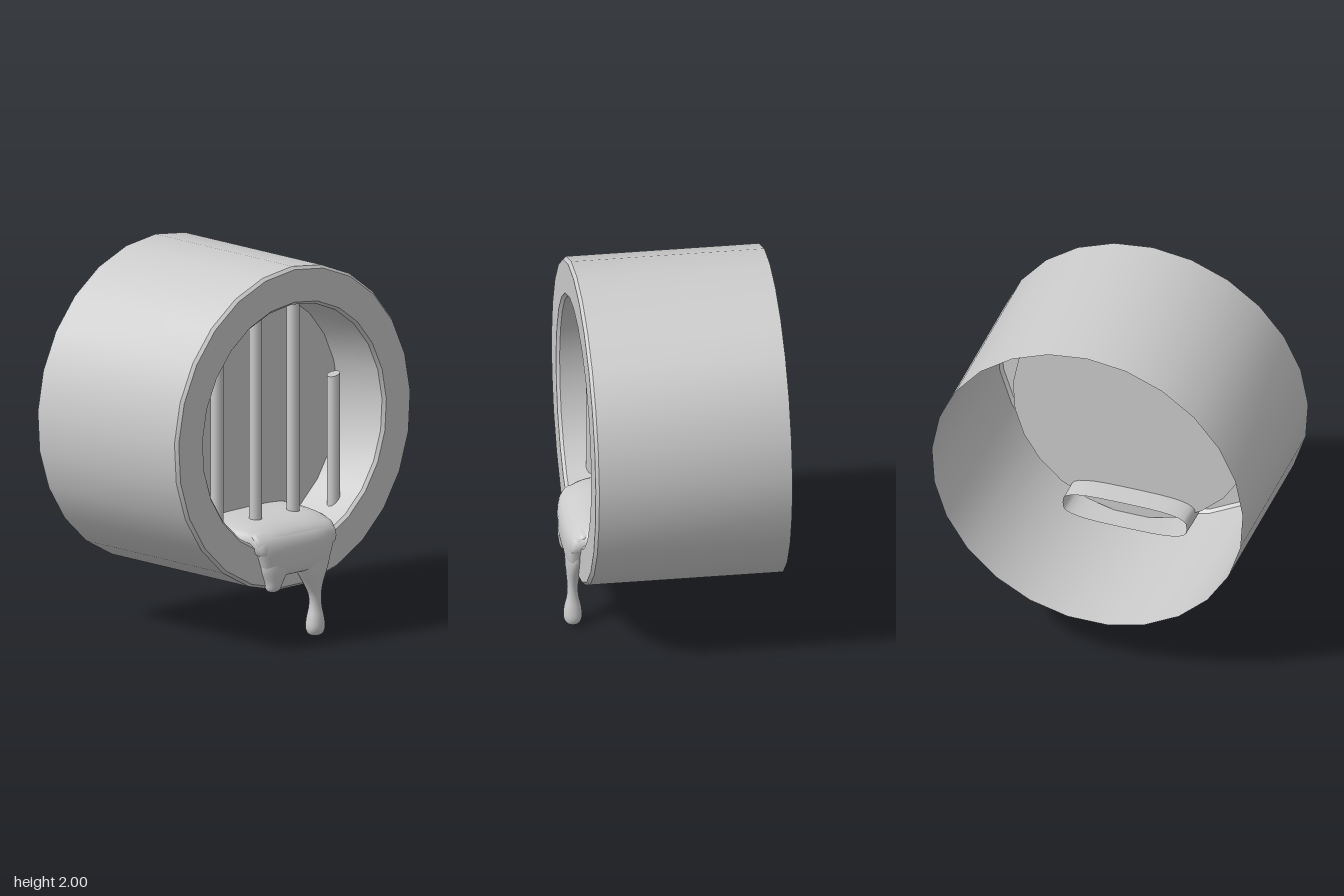
import * as THREE from 'three';
import { toCreasedNormals } from 'three/addons/utils/BufferGeometryUtils.js';

const CENTER_Y = 1.135;
const BORE = 0.66;

const material = new THREE.MeshStandardMaterial({ color: 0xcccccc, side: THREE.DoubleSide });

function addMesh(parent, name, geometry) {
  const mesh = new THREE.Mesh(geometry, material);
  mesh.name = name;
  parent.add(mesh);
  return mesh;
}

// Smooth loft through rounded sections [axis, centreX, halfX, centreOther, halfOther].
function loft(sections, alongZ, power = 1, sides = 28, steps = 4) {
  const spline = new THREE.CubicInterpolant(sections.map((_, i) => i), sections.flat(), 5);
  const rows = (sections.length - 1) * steps;
  const positions = [];
  const index = [];
  const round = (v) => Math.sign(v) * Math.abs(v) ** power;
  for (let i = 0; i <= rows; i++) {
    const [a, cx, hx, co, ho] = spline.evaluate(i / steps);
    for (let j = 0; j < sides; j++) {
      const t = (j / sides) * Math.PI * 2;
      const x = cx + Math.max(hx, 0) * round(Math.cos(t));
      const o = co + Math.max(ho, 0) * round(Math.sin(t));
      positions.push(x, alongZ ? o : a, alongZ ? a : o);
      if (i === rows) continue;
      const k = (j + 1) % sides;
      const p = i * sides, q = p + sides;
      index.push(p + j, p + k, q + j, p + k, q + k, q + j);
    }
  }
  const geometry = new THREE.BufferGeometry();
  geometry.setAttribute('position', new THREE.Float32BufferAttribute(positions, 3));
  geometry.setIndex(index);
  geometry.computeVertexNormals();
  return geometry;
}

export function createModel() {
  const model = new THREE.Group();
  model.name = 'sewerPipe';

  // Pipe: outer shell open at the back, thick front rim, recessed bore and its end wall
  const profile = [
    [0.865, -0.555], [0.865, 0.465], [0.85, 0.482], [0.675, 0.482],
    [BORE, 0.465], [BORE, 0.135], [0, 0.135],
  ].map(([r, z]) => new THREE.Vector2(r, z));
  const pipe = new THREE.LatheGeometry(profile, 25, Math.PI);
  pipe.rotateX(Math.PI / 2);
  addMesh(model, 'pipe', toCreasedNormals(pipe, 0.7)).position.y = CENTER_Y;

  // Upright bars, the last one broken off at a slant
  const bars = new THREE.Group();
  bars.name = 'bars';
  model.add(bars);
  [-0.415, -0.13, 0.145, 0.44].forEach((x, i) => {
    const broken = i === 3;
    const reach = Math.sqrt(0.69 ** 2 - x * x);
    const bottom = CENTER_Y - reach;
    const top = broken ? 1.325 : CENTER_Y + reach;
    const geometry = new THREE.CylinderGeometry(0.035, 0.035, top - bottom, 12);
    if (broken) {
      const p = geometry.attributes.position;
      for (let k = 0; k < p.count; k++) {
        if (p.getY(k) > 0) p.setY(k, p.getY(k) + p.getX(k) * 0.3);
      }
    }
    addMesh(bars, broken ? 'brokenBar' : 'bar', geometry).position.set(x, (top + bottom) / 2, 0.325);
  });

  // Slime: a flat pool running through the end wall, spilling over the rim
  const slime = new THREE.Group();
  slime.name = 'slime';
  model.add(slime);

  addMesh(slime, 'pool', loft([
    [0, -0.01, 0.345, 0.57, 0.08],
    [0.2, -0.01, 0.345, 0.565, 0.085],
    [0.38, -0.01, 0.33, 0.555, 0.085],
    [0.47, -0.005, 0.295, 0.54, 0.075],
    [0.52, 0, 0.27, 0.52, 0.055],
    [0.535, 0, 0.22, 0.5, 0.02],
  ], true, 0.6));

  addMesh(slime, 'spill', loft([
    [0.612, -0.005, 0, 0.45, 0],
    [0.605, -0.005, 0.25, 0.45, 0.03],
    [0.57, -0.005, 0.285, 0.47, 0.055],
    [0.52, -0.005, 0.275, 0.48, 0.067],
    [0.46, -0.005, 0.255, 0.485, 0.065],
    [0.4, -0.005, 0.232, 0.485, 0.06],
    [0.37, -0.005, 0.2, 0.485, 0.045],
    [0.362, -0.005, 0, 0.485, 0],
  ], false, 0.6));

  addMesh(slime, 'shortDrip', loft([
    [0.46, -0.15, 0.1, 0.49, 0.05],
    [0.4, -0.155, 0.088, 0.495, 0.05],
    [0.34, -0.165, 0.055, 0.495, 0.045],
    [0.3, -0.17, 0.04, 0.495, 0.035],
    [0.285, -0.17, 0.025, 0.495, 0.02],
    [0.28, -0.17, 0, 0.495, 0],
  ], false, 0.9));

  addMesh(slime, 'longDrip', loft([
    [0.46, 0.1, 0.145, 0.49, 0.05],
    [0.4, 0.11, 0.125, 0.495, 0.048],
    [0.34, 0.115, 0.093, 0.5, 0.042],
    [0.28, 0.12, 0.06, 0.503, 0.034],
    [0.22, 0.127, 0.038, 0.505, 0.028],
    [0.16, 0.13, 0.036, 0.505, 0.032],
    [0.1, 0.13, 0.047, 0.505, 0.045],
    [0.05, 0.13, 0.053, 0.505, 0.049],
    [0.018, 0.13, 0.044, 0.505, 0.04],
    [0.004, 0.13, 0.025, 0.505, 0.022],
    [0, 0.13, 0, 0.505, 0],
  ], false, 0.95));

  return model;
}
